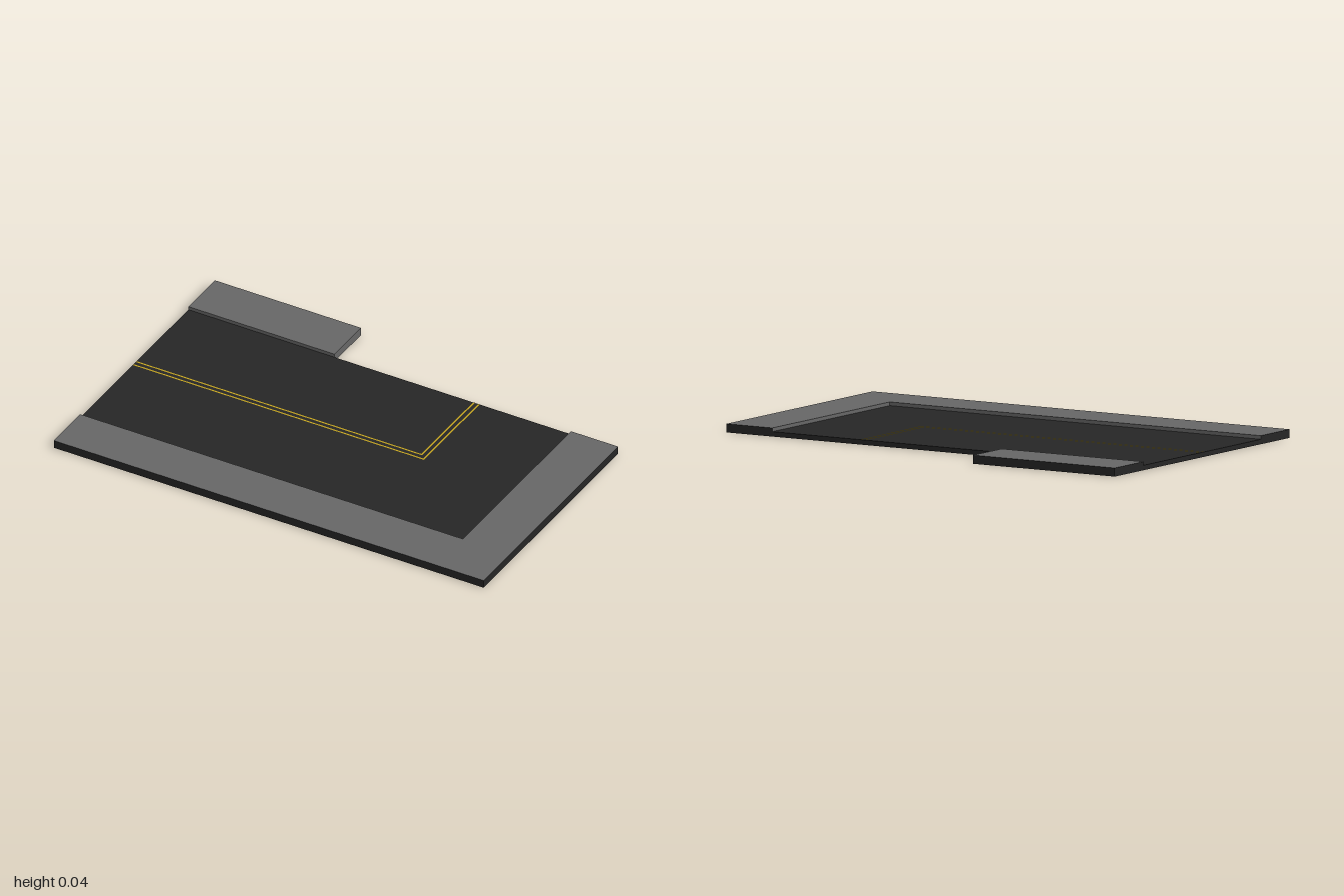
import * as THREE from 'three';

const paving = new THREE.MeshStandardMaterial({ color: 0x666666 });
const asphalt = new THREE.MeshStandardMaterial({ color: 0x262626 });
const yellow = new THREE.MeshStandardMaterial({ color: 0xc2a21e });

const ROAD_Y = 0.02, WALK_Y = 0.035;
const BACK = -0.44, CURB_Z = 0.44, CURB_X = 0.78, EDGE_Z = 0.655;

// Slab standing on the ground; paved lists the faces (+x -x +y -y +z -z) in paving grey
function slab(name, x0, x1, z0, z1, height, paved = []) {
  const materials = Array.from({ length: 6 }, (_, i) => (paved.includes(i) ? paving : asphalt));
  const mesh = new THREE.Mesh(new THREE.BoxGeometry(x1 - x0, height, z1 - z0), materials);
  mesh.position.set((x0 + x1) / 2, height / 2, (z0 + z1) / 2);
  mesh.name = name;
  return mesh;
}

// Painted line running along the road and turning towards the back edge
function cornerLine(name, x, z, width = 0.007) {
  const h = width / 2;
  const shape = new THREE.Shape([
    [-1, -z - h], [x + h, -z - h], [x + h, -BACK],
    [x - h, -BACK], [x - h, -z + h], [-1, -z + h],
  ].map(([px, py]) => new THREE.Vector2(px, py)));
  const mesh = new THREE.Mesh(new THREE.ShapeGeometry(shape).rotateX(-Math.PI / 2), yellow);
  mesh.position.y = ROAD_Y + 0.001;
  mesh.name = name;
  return mesh;
}

export function createModel() {
  const group = new THREE.Group();
  group.name = 'roadCorner';
  group.add(
    slab('road', -1, CURB_X, BACK, CURB_Z, ROAD_Y),
    // Raised pavements with grey tops and curbs, dark outer sides
    slab('frontPavement', -1, 1, CURB_Z, EDGE_Z, WALK_Y, [2, 5]),
    slab('sidePavement', CURB_X, 1, BACK, CURB_Z, WALK_Y, [1, 2]),
    slab('innerCornerPavement', -1, -0.32, -EDGE_Z, BACK, WALK_Y, [0, 2, 4]),
    // Double centre line
    cornerLine('innerCentreLine', 0.329, -0.014),
    cornerLine('outerCentreLine', 0.352, 0.01),
  );
  return group;
}
